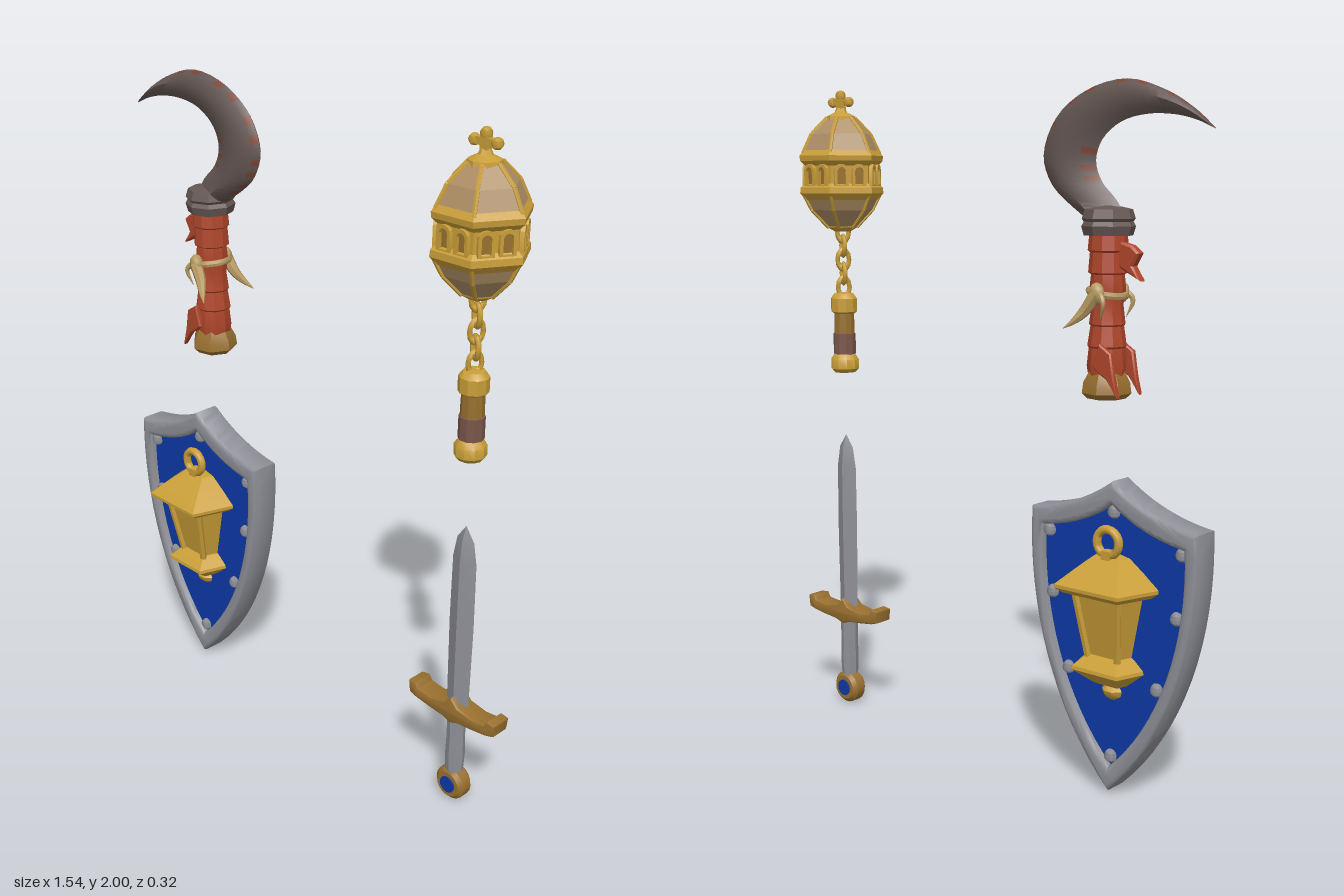
import * as THREE from 'three';
import { toCreasedNormals } from 'three/addons/utils/BufferGeometryUtils.js';

const paint = (name, color) => {
  const m = new THREE.MeshStandardMaterial({ color });
  m.name = name;
  return m;
};
const gold = paint('gold', 0xc99e38), tan = paint('tan', 0xae8f66), bronze = paint('bronze', 0x99702f);
const wrap = paint('gripWrap', 0x7b564a), steel = paint('steel', 0x8f9097), blue = paint('blue', 0x0d38a6);
const cloth = paint('redCloth', 0xb0462b), iron = paint('darkIron', 0x655753), rust = paint('rust', 0x7c4535);
const bone = paint('bone', 0xb89a62);

const V = (x, y, z = 0) => new THREE.Vector3(x, y, z);

function add(group, name, geo, mat, pos = [0, 0, 0], crease = 0.6) {
  const m = new THREE.Mesh(toCreasedNormals(geo, crease), mat);
  m.name = name;
  m.position.set(...pos);
  group.add(m);
  return m;
}
// turned form; profile runs from bottom to top, one corner points to +x
const turn = (profile, sides) =>
  new THREE.LatheGeometry(profile.map(p => new THREE.Vector2(...p)), sides, Math.PI / 2);
const rod = (a, b, r, sides = 6) => new THREE.TubeGeometry(new THREE.LineCurve3(a, b), 1, r, sides);
const polygon = pts => new THREE.Shape(pts.map(p => new THREE.Vector2(...p)));
// plate with bevelled edges, centred on z = 0
function plate(shape, thick, bevel, segs = 2) {
  return new THREE.ExtrudeGeometry(shape, {
    depth: thick - 2 * bevel, bevelEnabled: bevel > 0, bevelThickness: bevel, bevelSize: bevel,
    bevelOffset: -bevel, bevelSegments: segs, curveSegments: 16,
  }).translate(0, 0, -thick / 2 + bevel);
}
// tube that narrows to a point
function horn(points, r) {
  const curve = new THREE.CatmullRomCurve3(points), n = 10, s = 7;
  const g = new THREE.TubeGeometry(curve, n, r, s), p = g.attributes.position, v = V(0, 0);
  for (let i = 0; i < p.count; i++) {
    const t = Math.floor(i / (s + 1)) / n, c = curve.getPointAt(t);
    v.fromBufferAttribute(p, i).sub(c).multiplyScalar(1 - 0.95 * t * t).add(c);
    p.setXYZ(i, v.x, v.y, v.z);
  }
  return g;
}

// curved blade lofted between an outer and an inner edge
function sickleBlade() {
  const outer = new THREE.CatmullRomCurve3([[-.36, 1.62], [-.29, 1.665], [-.235, 1.715], [-.208, 1.79], [-.25, 1.89],
    [-.35, 1.96], [-.49, 1.987], [-.62, 1.95], [-.7, 1.905], [-.767, 1.85]].map(p => V(...p)));
  const inner = new THREE.CatmullRomCurve3([[-.495, 1.62], [-.46, 1.67], [-.41, 1.72], [-.39, 1.775], [-.41, 1.83],
    [-.47, 1.875], [-.55, 1.893], [-.64, 1.89], [-.71, 1.874], [-.767, 1.85]].map(p => V(...p)));
  const ring = [[0, 0], [.1, .5], [.4, 1], [.78, .6], [1, 0], [.78, -.6], [.4, -1], [.1, -.5]];
  const n = 36, pos = [], plain = [], rusty = [];
  for (let i = 0; i <= n; i++) {
    const t = i / n, o = outer.getPoint(t), q = inner.getPoint(t), thick = 0.042 * Math.sqrt(1 - t) + 0.001;
    for (const [u, w] of ring) {
      const c = o.clone().lerp(q, u);
      pos.push(c.x, c.y, w * thick);
    }
  }
  for (let i = 0; i < n; i++) for (let j = 0; j < 8; j++) {
    const a = i * 8 + j, b = i * 8 + (j + 1) % 8;
    const edge = j === 0 || j === 7 || ((j === 3 || j === 4) && i > 6 && i < 14);
    (edge && (i * 7) % 5 < 2 ? rusty : plain).push(a, a + 8, b + 8, a, b + 8, b);
  }
  const g = new THREE.BufferGeometry();
  g.setAttribute('position', new THREE.Float32BufferAttribute(pos, 3));
  g.setIndex([...plain, ...rusty]);
  g.addGroup(0, plain.length, 0);
  g.addGroup(plain.length, rusty.length, 1);
  return g;
}

function sickle() {
  const g = new THREE.Group();
  g.name = 'sickle';
  add(g, 'sickleBlade', sickleBlade(), [iron, rust], [0, 0, 0], 0.9);
  const x = -.435;
  add(g, 'bladeCollar', turn([[0, 1.575], [.068, 1.575], [.075, 1.6], [.068, 1.612], [.074, 1.62], [.066, 1.645], [0, 1.66]], 8), iron, [x, 0, 0]);
  add(g, 'wrappedHandle', turn([[.05, 1.19], [.055, 1.22], [.05, 1.27], [.054, 1.275], [.046, 1.33], [.05, 1.335], [.043, 1.39],
    [.05, 1.43], [.046, 1.47], [.054, 1.475], [.05, 1.53], [.056, 1.535], [.052, 1.58]], 10), cloth, [x, 0, 0]);
  add(g, 'handleEnd', turn([[0, 1.13], [.055, 1.13], [.07, 1.145], [.066, 1.175], [.05, 1.205], [0, 1.21]], 7), bronze, [x, 0, 0]);
  // torn cloth ends
  const torn = plate(polygon([[-.46, 1.565], [-.52, 1.55], [-.545, 1.53], [-.525, 1.495], [-.55, 1.455], [-.5, 1.48], [-.46, 1.5]]), .03, .006, 1);
  add(g, 'upperClothEnd', torn, cloth);
  for (const s of [-1, 1]) {
    const flap = plate(polygon([[-.45, 1.285], [-.49, 1.26], [-.5, 1.2], [-.513, 1.14], [-.475, 1.19], [-.455, 1.2], [-.43, 1.22]]), .018, .004, 1);
    add(g, 'lowerClothEnd', flap, cloth, [0, 0, s * .052]);
    // hanging fang with its cord knot
    add(g, 'fang', horn([V(-.44, 1.42, s * .06), V(-.41, 1.375, s * .068), V(-.385, 1.345, s * .085), V(-.36, 1.325, s * .1)], .019), bone);
    add(g, 'cordKnot', new THREE.SphereGeometry(.024, 8, 6).scale(1, 1.3, .8), bone, [-.44, 1.42, s * .058], 1.2);
    add(g, 'cordEnd', horn([V(-.44, 1.43, s * .055), V(-.47, 1.4, s * .07), V(-.455, 1.35, s * .06)], .009), bone);
  }
  const cord = add(g, 'handleCord', new THREE.TorusGeometry(.052, .01, 6, 14).rotateX(Math.PI / 2), bone, [x, 1.42, 0], 1.2);
  cord.rotation.z = .15;
  return g;
}

function flail() {
  const g = new THREE.Group();
  g.name = 'flail';
  const lower = [[.045, 1.575], [.098, 1.63], [.124, 1.68]], upper = [[.124, 1.805], [.095, 1.865], [.045, 1.915]];
  add(g, 'lowerHead', turn([[0, 1.572], ...lower], 6), tan, [0, 0, 0], .2);
  add(g, 'upperHead', turn([...upper, [0, 1.92]], 6), tan, [0, 0, 0], .2);
  add(g, 'headBand', turn([[.118, 1.68], [.118, 1.8]], 6), gold, [0, 0, 0], .2);
  add(g, 'upperRim', turn([[.115, 1.765], [.133, 1.782], [.135, 1.798], [.12, 1.815]], 6), gold, [0, 0, 0], .2);
  add(g, 'lowerRim', turn([[.117, 1.662], [.135, 1.682], [.133, 1.7], [.115, 1.715]], 6), gold, [0, 0, 0], .2);
  add(g, 'headBottomCap', turn([[0, 1.562], [.025, 1.562], [.048, 1.575], [.052, 1.588], [0, 1.59]], 6), gold);
  const arch = (w, y0, h) => {
    const s = new THREE.Shape();
    s.moveTo(-w, y0);
    s.lineTo(w, y0);
    s.lineTo(w, h);
    s.absarc(0, h, w, 0, Math.PI, false);
    s.closePath();
    return s;
  };
  const frame = arch(.022, 1.705, 1.75);
  frame.holes.push(arch(.013, 1.709, 1.749));
  for (let k = 0; k < 6; k++) {
    const side = new THREE.Group(), a = k * Math.PI / 3;
    side.name = 'archedSide';
    side.rotation.y = a;
    for (const x of [-.028, .028]) {
      add(side, 'archFrame', plate(frame, .014, 0), gold, [x, 0, .107]);
      add(side, 'archPanel', new THREE.ShapeGeometry(arch(.015, 1.707, 1.75)), bronze, [x, 0, .1035]);
    }
    g.add(side);
    // ribs along the corners
    for (const line of [lower, upper]) for (let i = 0; i < 2; i++) {
      const [p, q] = [line[i], line[i + 1]].map(([r, y]) => V(r * Math.cos(a), y, r * Math.sin(a)));
      add(g, 'headRib', rod(p, q, .006), gold);
    }
  }
  // cross finial
  add(g, 'finialBase', turn([[.048, 1.905], [.045, 1.92], [.02, 1.932], [.014, 1.945], [0, 1.95]], 8), gold);
  add(g, 'finialStem', new THREE.BoxGeometry(.022, .06, .022), gold, [0, 1.958, 0]);
  add(g, 'finialArms', new THREE.BoxGeometry(.08, .02, .02), gold, [0, 1.963, 0]);
  for (const [x, y] of [[-.036, 1.963], [.036, 1.963], [0, 1.984]])
    add(g, 'finialKnob', new THREE.SphereGeometry(.016, 8, 6), gold, [x, y, 0], 1.2);
  // chain
  for (let i = 0; i < 5; i++) {
    const link = add(g, 'chainLink', new THREE.TorusGeometry(.019, .0075, 6, 12).scale(1, 1.5, 1), gold, [0, 1.385 + i * .044, 0], 1.2);
    link.rotation.y = Math.PI / 4 + i * Math.PI / 2 + .3;
  }
  // handle
  add(g, 'flailGrip', turn([[.031, 1.15], [.033, 1.25], [.031, 1.33]], 10), bronze);
  add(g, 'gripBand', turn([[.03, 1.17], [.036, 1.173], [.036, 1.238], [.03, 1.241]], 10), wrap);
  add(g, 'gripTopCap', turn([[.03, 1.3], [.042, 1.308], [.042, 1.35], [.03, 1.366], [0, 1.37]], 10), gold);
  add(g, 'gripBottomCap', turn([[0, 1.113], [.035, 1.113], [.045, 1.125], [.045, 1.155], [.033, 1.172]], 10), gold);
  return g;
}

function shield() {
  const g = new THREE.Group();
  g.name = 'shield';
  const outline = k => {
    const P = (x, y) => [x * k, .478 + (y - .478) * k], s = new THREE.Shape();
    s.moveTo(...P(0, .908));
    s.quadraticCurveTo(...P(-.12, .82), ...P(-.282, .8));
    s.bezierCurveTo(...P(-.3, .5), ...P(-.2, .2), ...P(0, .008));
    s.bezierCurveTo(...P(.2, .2), ...P(.3, .5), ...P(.282, .8));
    s.quadraticCurveTo(...P(.12, .82), ...P(0, .908));
    return s;
  };
  const ringShape = outline(1);
  ringShape.holes.push(outline(.845));
  add(g, 'shieldRim', plate(ringShape, .094, .014, 3), steel, [0, 0, 0], .9);
  add(g, 'shieldPanel', plate(outline(.88), .05, 0), blue);
  const studs = [[0, .82], [0, .11]];
  for (const [x, y] of [[.225, .735], [.212, .555], [.152, .34]]) studs.push([x, y], [-x, y]);
  for (const s of [-1, 1]) {
    for (const [x, y] of studs)
      add(g, 'stud', new THREE.SphereGeometry(.02, 8, 6), steel, [x, y, s * .026], 1.2);
    add(g, 'lanternRing', new THREE.TorusGeometry(.037, .0125, 8, 20), gold, [0, .738, s * .056], 1.2);
    add(g, 'ringMount', new THREE.BoxGeometry(.03, .03, .03), gold, [0, .7, s * .054]);
  }
  // six-sided lantern that stands out on both faces
  const wide = geo => {
    const p = geo.attributes.position;
    for (let i = 0; i < p.count; i++) {
      if (Math.abs(p.getZ(i)) > 1e-4) p.setXYZ(i, p.getX(i) * 1.36, p.getY(i), p.getZ(i) * 1.155);
    }
    return geo;
  };
  add(g, 'lanternRoof', wide(turn([[.115, .59], [.135, .595], [.158, .612], [.158, .622], [.11, .66], [.062, .695], [0, .708]], 6)), gold, [0, 0, 0], .2);
  add(g, 'lanternBody', wide(turn([[.07, .4], [.108, .6]], 6)), gold, [0, 0, 0], .2);
  add(g, 'lanternBase', wide(turn([[0, .32], [.055, .325], [.075, .34], [.114, .372], [.112, .382], [.085, .405], [.07, .415]], 6)), gold, [0, 0, 0], .2);
  add(g, 'lanternDrop', turn([[0, .253], [.016, .262], [.02, .275], [.036, .29], [.04, .305], [.03, .32], [.045, .33]], 10).scale(1, 1, 1.25), gold);
  for (let k = 0; k < 6; k++) {
    const c = Math.cos(k * Math.PI / 3) * (k % 3 ? 1.36 : 1), s = Math.sin(k * Math.PI / 3) * 1.155;
    add(g, 'lanternPost', rod(V(.072 * c, .4, .072 * s), V(.108 * c, .6, .108 * s), .011), gold);
  }
  return g;
}

function sword() {
  const g = new THREE.Group();
  g.name = 'sword';
  add(g, 'swordBlade', turn([[.04, .32], [.044, .6], [.042, .8], [.03, .865], [0, .908]], 4).scale(1, 1, .5), steel, [0, 0, 0], .3);
  add(g, 'swordGrip', turn([[.026, .09], [.029, .15], [.027, .22], [.029, .3]], 8), steel);
  const half = [[0, .36], [.025, .335], [.08, .325], [.125, .33], [.135, .347], [.162, .343], [.157, .305], [.13, .297], [.08, .29], [.03, .285], [0, .275]];
  const guard = polygon([...half, ...half.slice(1, -1).reverse().map(([x, y]) => [-x, y])]);
  add(g, 'crossguard', plate(guard, .07, .008, 2), bronze);
  add(g, 'pommel', turn([[0, -.028], [.04, -.028], [.052, -.016], [.052, .016], [.04, .028], [0, .028]], 18).rotateX(Math.PI / 2), bronze, [0, .052, 0]);
  for (const s of [-1, 1])
    add(g, 'pommelGem', new THREE.CylinderGeometry(.026, .026, .008, 16).rotateX(Math.PI / 2), blue, [0, .052, s * .028]);
  return g;
}

export function createModel() {
  const root = new THREE.Group();
  root.name = 'weaponSet';
  const parts = [sickle(), flail(), shield(), sword()];
  [0, .608, -.488, .608].forEach((x, i) => { parts[i].position.x = x; });
  root.add(...parts);
  return root;
}
